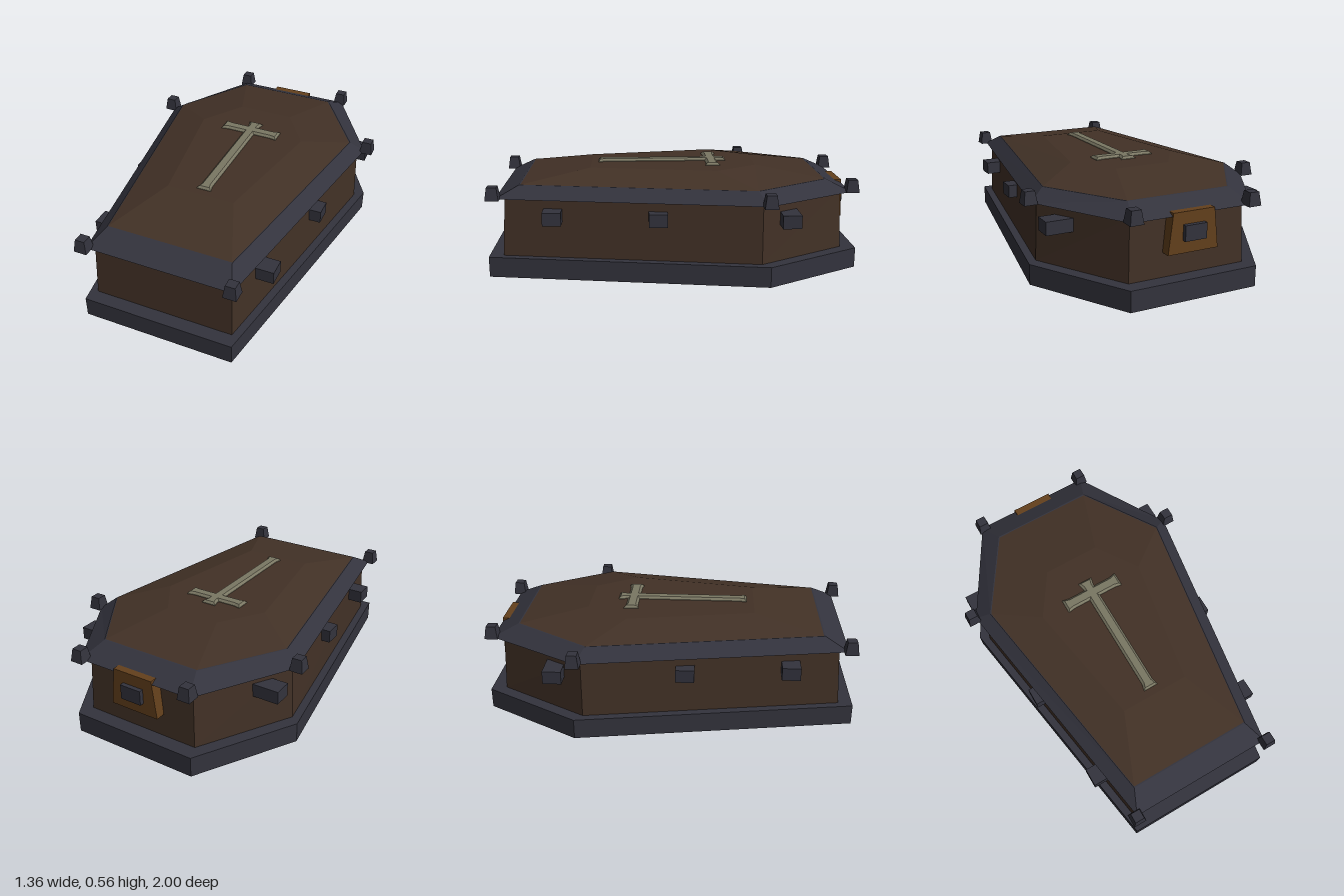
import * as THREE from 'three';

const mat = (name, color) => {
  const m = new THREE.MeshStandardMaterial({ color });
  m.name = name;
  return m;
};

// Six-sided outline: [z, half width] at the foot, shoulder and head
const outline = (foot, shoulder, head) => {
  const right = [foot, shoulder, head].map(([z, w]) => [w, z]);
  return [...right, ...right.slice().reverse().map(([x, z]) => [-x, z])];
};

// Flat-sided solid joining outlines stacked upwards: [[y, points], ...]
function loft(rings) {
  const pos = [];
  const n = rings[0][1].length;
  const put = (r, i) => pos.push(rings[r][1][i % n][0], rings[r][0], rings[r][1][i % n][1]);
  for (let r = 0; r < rings.length - 1; r++) {
    for (let i = 0; i < n; i++) {
      put(r, i); put(r, i + 1); put(r + 1, i + 1);
      put(r, i); put(r + 1, i + 1); put(r + 1, i);
    }
  }
  const last = rings.length - 1;
  for (let i = 1; i < n - 1; i++) {
    put(last, 0); put(last, i); put(last, i + 1);
    put(0, 0); put(0, i + 1); put(0, i);
  }
  const g = new THREE.BufferGeometry();
  g.setAttribute('position', new THREE.Float32BufferAttribute(pos, 3));
  g.computeVertexNormals();
  return g;
}

export function createModel() {
  const model = new THREE.Group();
  model.name = 'coffin';
  const wood = mat('dark wood', 0x423126);
  const iron = mat('dark iron', 0x33333d);
  const bronze = mat('bronze', 0x64401c);
  const bone = mat('pale stone', 0x7a7763);

  const add = (name, geometry, material, x = 0, y = 0, z = 0) => {
    const mesh = new THREE.Mesh(geometry, material);
    mesh.name = name;
    mesh.position.set(x, y, z);
    model.add(mesh);
    return mesh;
  };

  // Plinth and tapering body
  const plinth = outline([1, 0.415], [-0.48, 0.655], [-1, 0.355]);
  add('plinth', loft([[0, plinth], [0.11, plinth]]), iron);
  add('body', loft([
    [0.11, outline([0.925, 0.385], [-0.44, 0.605], [-0.92, 0.325])],
    [0.43, outline([0.905, 0.377], [-0.44, 0.593], [-0.905, 0.315])],
  ]), wood);

  // Lid: sloping iron rim with a raised wooden panel
  const panelEdge = outline([0.83, 0.345], [-0.42, 0.55], [-0.83, 0.285]);
  add('lidRim', loft([
    [0.425, outline([0.955, 0.4], [-0.465, 0.63], [-0.965, 0.335])],
    [0.489, panelEdge],
  ]), iron);
  add('lidPanel', loft([
    [0.488, panelEdge],
    [0.545, outline([0.46, 0.19], [-0.23, 0.31], [-0.46, 0.157])],
  ]), wood);

  // Cross with flared, bevelled arms
  const a = 0.032, f = 0.042, e = 0.04;
  const half = [
    [f, -0.42], [a, -0.42 + e], [a, 0.187], [0.17 - e, 0.187], [0.17, 0.18],
    [0.17, 0.262], [0.17 - e, 0.253], [a, 0.253], [a, 0.305 - e], [f, 0.305],
  ];
  const crossShape = new THREE.Shape(
    [...half, ...half.slice().reverse().map(([x, y]) => [-x, y])].map(p => new THREE.Vector2(...p)));
  const crossGeo = new THREE.ExtrudeGeometry(crossShape, {
    depth: 0.006, bevelThickness: 0.012, bevelSize: 0.012, bevelOffset: -0.012, bevelSegments: 1,
  });
  crossGeo.rotateX(-Math.PI / 2);
  add('cross', crossGeo, bone, 0, 0.548 - 0.006, 0);

  // Corner studs and side handle blocks, mirrored
  const stud = new THREE.CylinderGeometry(0.026 * Math.SQRT2, 0.036 * Math.SQRT2, 0.07, 4).toNonIndexed();
  stud.rotateY(Math.PI / 4);
  stud.computeVertexNormals();
  for (const side of [1, -1]) {
    const label = side > 0 ? 'left' : 'right';
    for (const [part, x, z] of [['Foot', 0.405, 0.963], ['Shoulder', 0.645, -0.468], ['Head', 0.327, -0.967]]) {
      add(label + part + 'Stud', stud, iron, side * x, 0.46, z);
    }
    for (const [part, outer, z] of [['Foot', 0.51, 0.65], ['Middle', 0.567, 0.097], ['Head', 0.623, -0.587]]) {
      add(label + part + 'Handle', new THREE.BoxGeometry(0.15, 0.07, 0.098), iron, side * (outer - 0.075), 0.34, z);
    }
  }

  // Tapered plate and block on the head end
  const rect = (w, z0, z1) => [[w, z1], [w, z0], [-w, z0], [-w, z1]];
  add('headPlate', loft([
    [0.235, rect(0.14, -0.967, -0.9)],
    [0.443, rect(0.115, -0.967, -0.9)],
  ]), bronze);
  add('headBlock', new THREE.BoxGeometry(0.12, 0.08, 0.04), iron, 0, 0.34, -0.97);

  return model;
}
